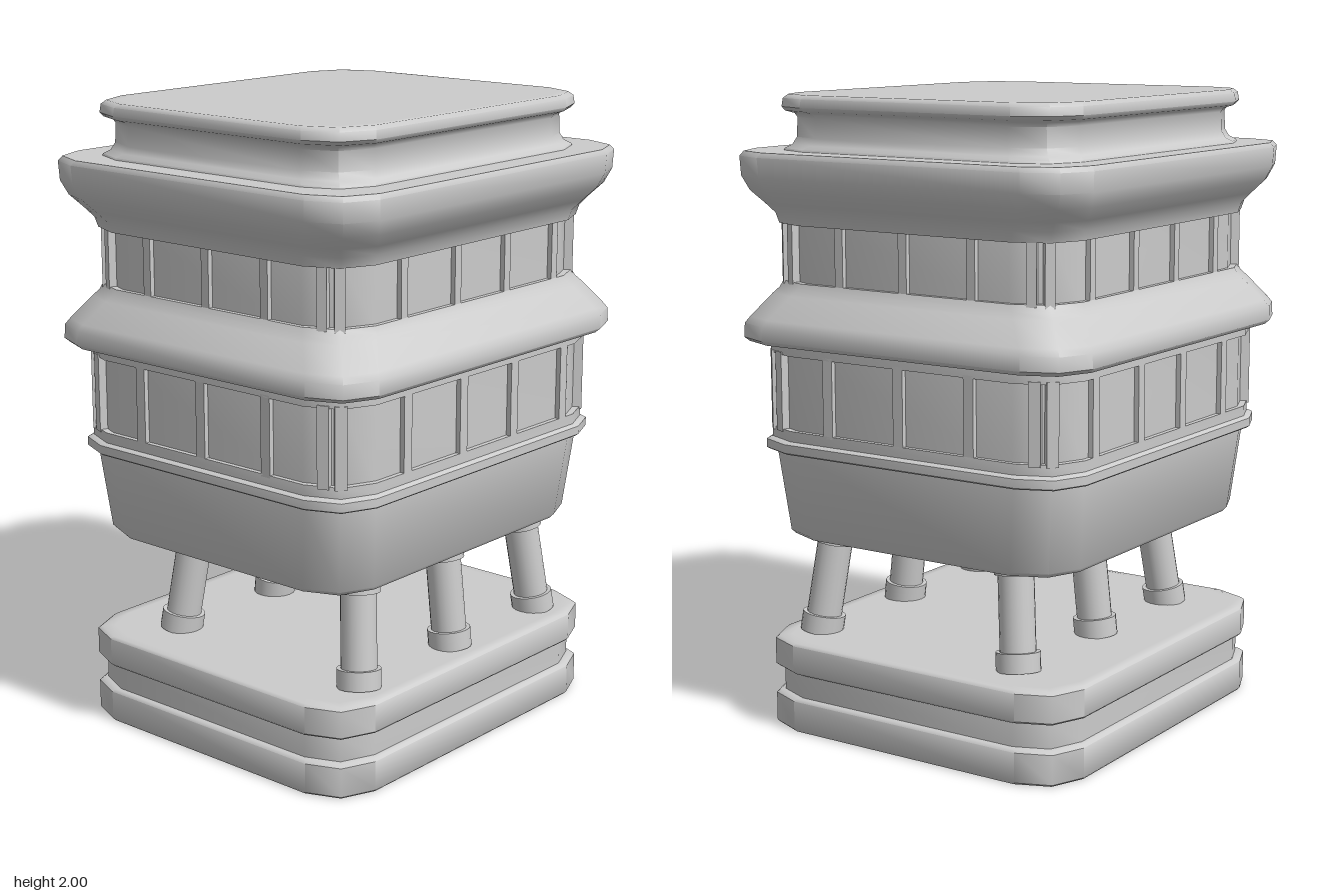
import * as THREE from 'three';
import { toCreasedNormals } from 'three/addons/utils/BufferGeometryUtils.js';

const material = new THREE.MeshStandardMaterial({ color: 0xcccccc });
const DEPTH_INSET = 0.08; // the tower is slightly wider than deep

// Rectangle outline with two-step chamfered corners, from +x towards +z
function outline(hx) {
  const hz = hx - DEPTH_INSET, a = 0.15, b = 0.044;
  const corner = [[hx, hz - a], [hx - b, hz - b], [hx - a, hz]];
  const flip = (pts, sx, sz) => pts.map(([x, z]) => [x * sx, z * sz]);
  const back = [...corner].reverse();
  return [...corner, ...flip(back, -1, 1), ...flip(corner, -1, -1), ...flip(back, 1, -1)];
}

// Stack outlines along a [half width, height] profile and close both ends
function loft(profile) {
  const pos = [], index = [], n = 12, last = profile.length - 1;
  for (const [hx, y] of profile) for (const [x, z] of outline(hx)) pos.push(x, y, z);
  const bottom = pos.length / 3, top = bottom + 1;
  pos.push(0, profile[0][1], 0, 0, profile[last][1], 0);
  for (let j = 0; j < n; j++) {
    const k = (j + 1) % n;
    for (let i = 0; i < last; i++) {
      const a = i * n + j, b = i * n + k, c = b + n, d = a + n;
      index.push(a, d, c, a, c, b);
    }
    index.push(bottom, j, k, top, last * n + k, last * n + j);
  }
  const g = new THREE.BufferGeometry();
  g.setAttribute('position', new THREE.Float32BufferAttribute(pos, 3));
  g.setIndex(index);
  return toCreasedNormals(g, 0.82);
}

function addMesh(parent, name, geometry) {
  const mesh = new THREE.Mesh(geometry, material);
  mesh.name = name;
  parent.add(mesh);
  return mesh;
}

// Upright bars around a window band
function windowBars(name, hx, y0, y1, width, xs, zs) {
  const group = new THREE.Group();
  group.name = name;
  const hz = hx - DEPTH_INSET, depth = 0.04;
  const bar = new THREE.BoxGeometry(width, y1 - y0, depth);
  const place = (x, z, turn) => {
    const m = addMesh(group, 'windowBar', bar);
    m.position.set(x, (y0 + y1) / 2, z);
    m.rotation.y = turn;
  };
  for (const s of [1, -1]) {
    for (const x of xs) place(x, s * (hz - depth / 2), 0);
    for (const z of zs) place(s * (hx - depth / 2), z, Math.PI / 2);
    // Corner bars: one on the corner edge, one on the side facet
    for (const t of [1, -1]) {
      place(s * (hx - 0.058), t * (hz - 0.058), s * t * Math.PI / 4);
      place(s * (hx - 0.038), t * (hz - 0.1), s * (Math.PI / 2 - t * 0.38));
    }
  }
  return group;
}

// Splayed leg with a collar at each end
function leg(foot, head) {
  const group = new THREE.Group();
  group.name = 'leg';
  const dir = head.clone().sub(foot), len = dir.length();
  const part = (name, r, y, h) => {
    addMesh(group, name, new THREE.CylinderGeometry(r, r, h, 20)).position.y = y;
  };
  part('legShaft', 0.056, len / 2, len);
  part('legFootCollar', 0.069, 0.03, 0.06);
  part('legHeadCollar', 0.067, len - 0.035, 0.06);
  group.position.copy(foot);
  group.quaternion.setFromUnitVectors(new THREE.Vector3(0, 1, 0), dir.normalize());
  return group;
}

export function createModel() {
  const model = new THREE.Group();
  model.name = 'tower';

  const parts = {
    base: [[0.62, 0], [0.642, 0], [0.648, 0.007], [0.648, 0.1], [0.64, 0.108], [0.628, 0.11],
      [0.628, 0.187], [0.64, 0.189], [0.648, 0.197], [0.648, 0.282], [0.64, 0.29], [0.61, 0.29]],
    lowerBody: [[0.57, 0.622], [0.597, 0.622], [0.607, 0.635], [0.634, 0.9], [0.634, 0.92]],
    sillBand: [[0.62, 0.9], [0.652, 0.9], [0.658, 0.905], [0.658, 0.932], [0.65, 0.938],
      [0.644, 0.94], [0.644, 0.973], [0.61, 0.973]],
    lowerWindows: [[0.628, 0.96], [0.628, 1.22]],
    lowerLintel: [[0.61, 1.207], [0.644, 1.207], [0.644, 1.25]],
    middleCanopy: [[0.63, 1.243], [0.69, 1.243], [0.702, 1.256], [0.7, 1.3], [0.688, 1.32],
      [0.637, 1.392], [0.622, 1.41], [0.614, 1.43], [0.58, 1.43]],
    upperWindows: [[0.598, 1.42], [0.598, 1.63]],
    upperCanopy: [[0.58, 1.608], [0.62, 1.608], [0.628, 1.64], [0.65, 1.67], [0.682, 1.71],
      [0.7, 1.755], [0.703, 1.815], [0.693, 1.83], [0.66, 1.83]],
    roof: [[0.608, 1.825], [0.605, 1.836], [0.588, 1.848], [0.578, 1.87], [0.576, 1.93],
      [0.582, 1.942], [0.602, 1.95], [0.61, 1.962], [0.607, 1.988], [0.595, 2], [0.57, 2]],
  };
  for (const [name, profile] of Object.entries(parts)) addMesh(model, name, loft(profile));

  model.add(windowBars('lowerWindowBars', 0.644, 0.965, 1.215, 0.036,
    [-0.35, -0.083, 0.173, 0.435], [0.265, 0, -0.255]));
  model.add(windowBars('upperWindowBars', 0.614, 1.42, 1.62, 0.03,
    [-0.335, -0.083, 0.162, 0.41], [0.237, 0, -0.245]));

  // Two rows of three legs, leaning inwards towards the body
  for (const [footZ, headZ] of [[0.445, 0.405], [-0.315, -0.275]]) {
    for (const [footX, headX] of [[-0.43, -0.387], [0.018, 0.018], [0.468, 0.425]]) {
      model.add(leg(new THREE.Vector3(footX, 0.285, footZ), new THREE.Vector3(headX, 0.64, headZ)));
    }
  }
  return model;
}
